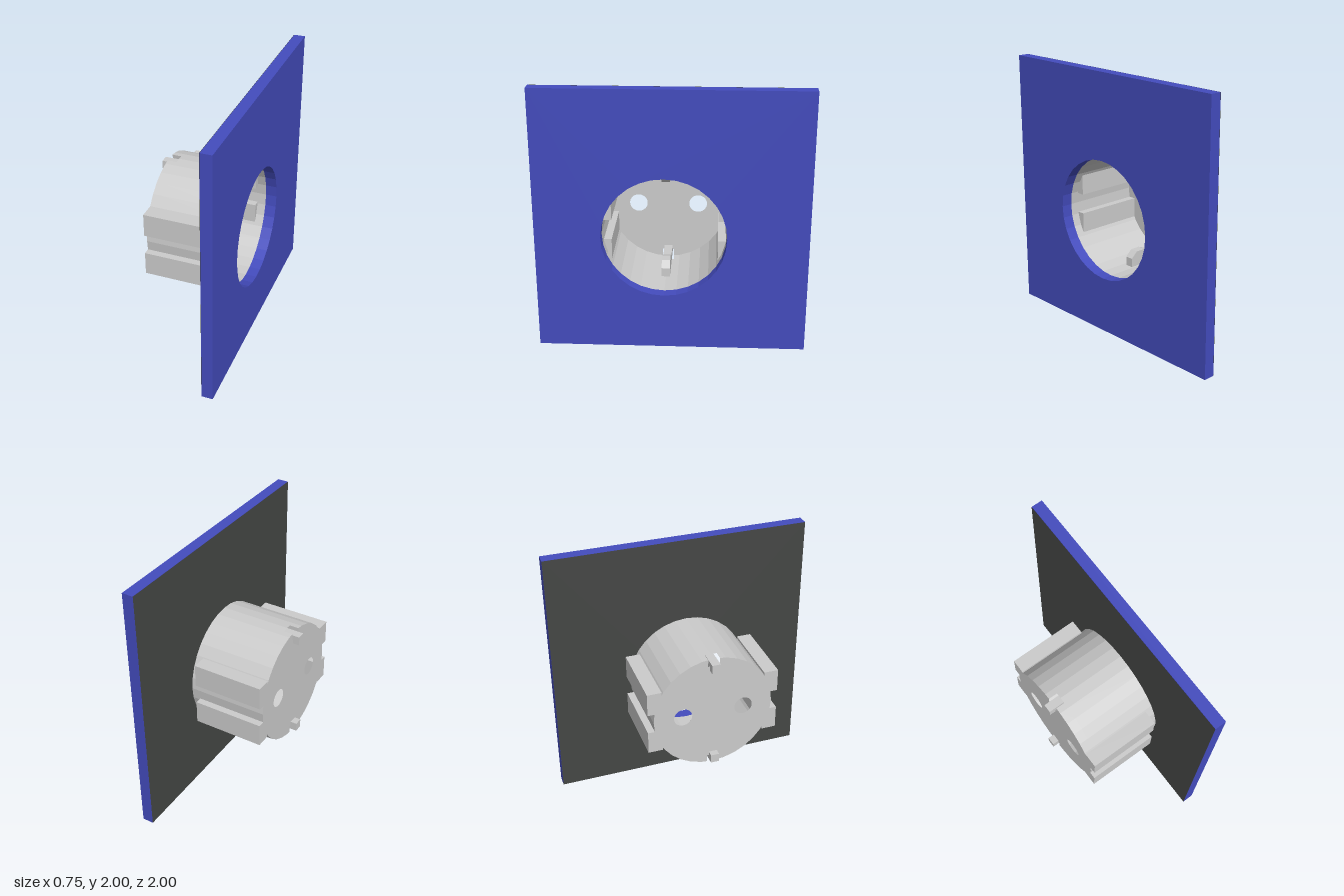
import * as THREE from 'three';

const R = 0.46, SIDES = 32;
const BACK = -0.325, NOTCH_END = -0.255, PLATE_BACK = 0.285, PLATE_FRONT = 0.37;
const NOTCH_W = 0.045, NOTCH_R = 0.4;

const grey = new THREE.MeshStandardMaterial({ color: 0xcccccc, flatShading: true });
const greySheet = new THREE.MeshStandardMaterial({ color: 0xcccccc, flatShading: true, side: THREE.DoubleSide });
const blue = new THREE.MeshStandardMaterial({ color: 0x444cbe });
const black = new THREE.MeshStandardMaterial({ color: 0x454745, side: THREE.DoubleSide });

const corner = (i, r = R, n = SIDES) =>
  new THREE.Vector2(Math.sin(i / n * 2 * Math.PI) * r, Math.cos(i / n * 2 * Math.PI) * r);

function circle(r, n, cx = 0) {
  const pts = [];
  for (let i = 0; i < n; i++) pts.push(corner(i, r, n).add(new THREE.Vector2(cx, 0)));
  return pts;
}

function add(parent, name, geometry, material) {
  const mesh = new THREE.Mesh(geometry, material);
  mesh.name = name;
  parent.add(mesh);
  return mesh;
}

// Open wall following a line of points, from depth z0 to z1
function wall(points, z0, z1) {
  const pos = [], index = [];
  points.forEach((p, i) => {
    pos.push(p.x, p.y, z0, p.x, p.y, z1);
    if (i > 0) {
      const a = 2 * i - 2;
      index.push(a, a + 2, a + 1, a + 1, a + 2, a + 3);
    }
  });
  const g = new THREE.BufferGeometry();
  g.setAttribute('position', new THREE.Float32BufferAttribute(pos, 3));
  g.setIndex(index);
  g.computeVertexNormals();
  return g;
}

// Half of the rim, leaving the top and bottom notches open
function halfRim(side) {
  const pts = [corner(0).lerp(corner(1), 0.5)];
  for (let i = 1; i < SIDES / 2; i++) pts.push(corner(i));
  pts.push(corner(SIDES / 2 - 1).lerp(corner(SIDES / 2), 0.5));
  return side > 0 ? pts : pts.map(p => new THREE.Vector2(-p.x, -p.y));
}

export function createModel() {
  const model = new THREE.Group();
  model.name = 'wallSocket';

  // Built facing local +z round the cup axis, then turned to face +x
  const socket = new THREE.Group();
  socket.name = 'socket';
  socket.rotation.y = Math.PI / 2;
  socket.position.set(0, 0.89, 0.055);
  model.add(socket);

  // Square cover plate with a round opening
  const square = new THREE.Shape([
    new THREE.Vector2(-0.945, -0.89), new THREE.Vector2(1.055, -0.89),
    new THREE.Vector2(1.055, 1.11), new THREE.Vector2(-0.945, 1.11)]);
  square.holes.push(new THREE.Path(circle(R, SIDES)));
  const plate = new THREE.ExtrudeGeometry(square, { depth: PLATE_FRONT - PLATE_BACK, bevelEnabled: false });
  add(socket, 'coverPlate', plate, blue).position.z = PLATE_BACK;
  add(socket, 'coverPlateBacking', new THREE.ShapeGeometry(square), black).position.z = PLATE_BACK - 0.002;

  // Cup wall: full ring in front, two half rings beside the notches behind
  add(socket, 'cupWall', wall([...circle(R, SIDES), corner(0)], NOTCH_END, PLATE_BACK), greySheet);
  for (const side of [1, -1])
    add(socket, side > 0 ? 'cupRimRight' : 'cupRimLeft', wall(halfRim(side), BACK, NOTCH_END), greySheet);

  // Cup floor with notches and two pin holes
  const outline = [];
  for (const side of [1, -1]) {
    outline.push(new THREE.Vector2(NOTCH_W * side, NOTCH_R * side), ...halfRim(side),
      new THREE.Vector2(NOTCH_W * side, -NOTCH_R * side));
  }
  const floor = new THREE.Shape(outline);
  for (const x of [-0.235, 0.235]) floor.holes.push(new THREE.Path(circle(0.07, 32, x)));
  add(socket, 'cupFloor', new THREE.ShapeGeometry(floor), greySheet).position.z = BACK;

  // Four guide rails passing through the cup wall
  const railLength = 0.22 - BACK;
  for (const sx of [-1, 1]) for (const sy of [-1, 1]) {
    const rail = add(socket, 'guideRail', new THREE.BoxGeometry(0.11, 0.178, railLength), grey);
    rail.position.set(sx * 0.45, sy * 0.166, BACK + railLength / 2);
  }

  // Earth clips, bent inwards near the front end
  const profile = [[-0.375, 0.435], [-0.375, 0.367], [-0.15, 0.367], [-0.03, 0.32],
    [0.05, 0.32], [0.1, 0.367], [0.1, 0.435]];
  const clip = new THREE.ExtrudeGeometry(
    new THREE.Shape(profile.map(([x, y]) => new THREE.Vector2(x, y))),
    { depth: 0.064, bevelEnabled: false });
  clip.translate(0, 0, -0.032).rotateY(-Math.PI / 2);
  add(socket, 'earthClipTop', clip, grey);
  add(socket, 'earthClipBottom', clip, grey).rotation.z = Math.PI;

  return model;
}
